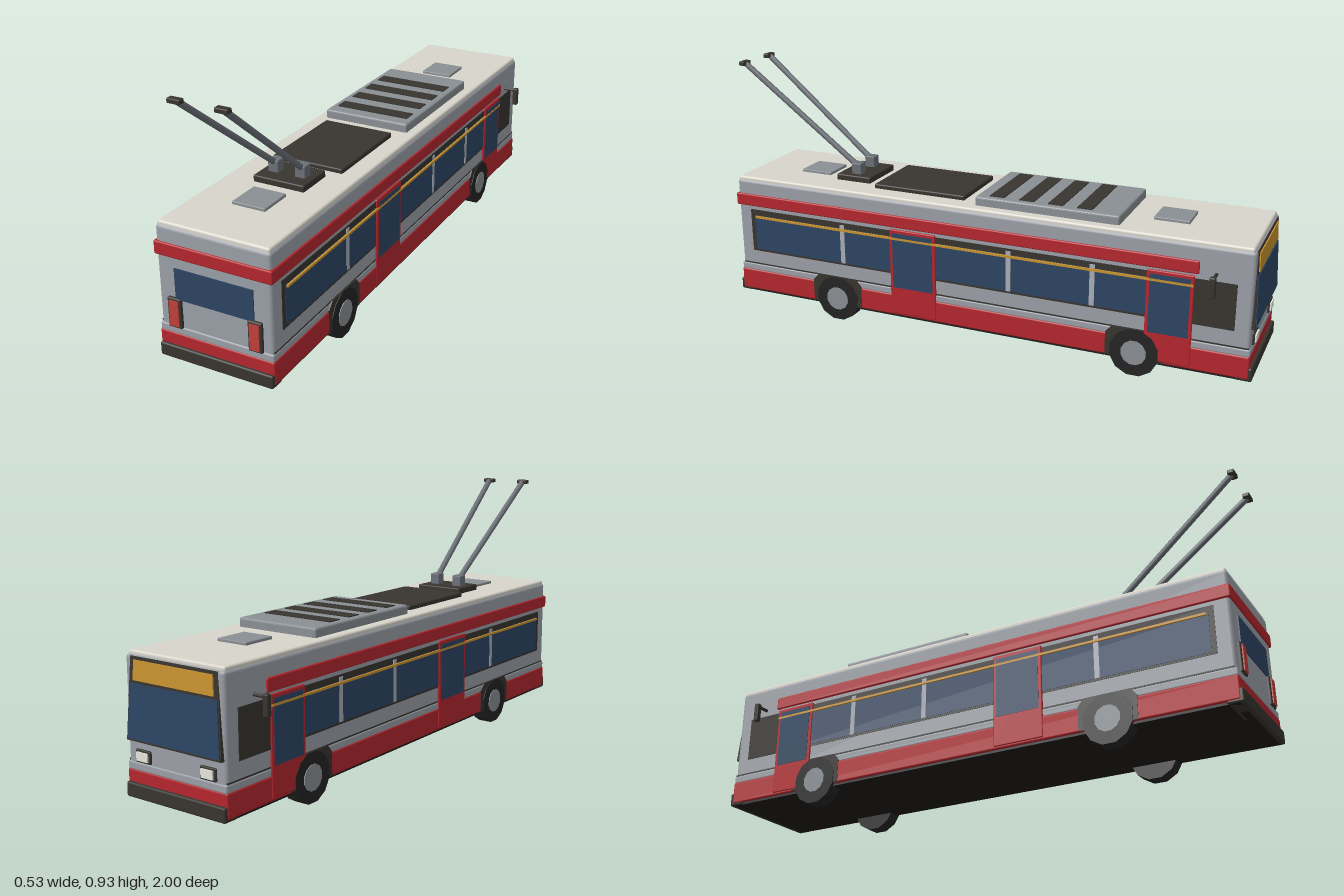
import * as THREE from 'three';
import { RoundedBoxGeometry } from 'three/addons/geometries/RoundedBoxGeometry.js';

const mat = (color) => new THREE.MeshStandardMaterial({ color });
const grey = mat(0x9a9fa6), red = mat(0xb3262d), cream = mat(0xd8d5cb), dark = mat(0x38342f);
const glass = mat(0x2c4462), amber = mat(0xc8922f), black = mat(0x1d1b19), steel = mat(0x6b7077);
const roofGrey = mat(0x8a8f94), pillarGrey = mat(0xa9aeb5), lampRed = mat(0xc0403a), lampWhite = mat(0xe6e6de);
const tyre = mat(0x232323);

export function createModel() {
  const root = new THREE.Group();

  const add = (name, geometry, material, parent = root) => {
    const m = new THREE.Mesh(geometry, material);
    m.name = name;
    parent.add(m);
    return m;
  };
  // Box given by its limits; r > 0 rounds the edges
  const box = (name, material, [x0, x1], [y0, y1], [z0, z1], r = 0, parent = root) => {
    const s = [x1 - x0, y1 - y0, z1 - z0];
    const g = r ? new RoundedBoxGeometry(...s, 2, r) : new THREE.BoxGeometry(...s);
    g.translate((x0 + x1) / 2, (y0 + y1) / 2, (z0 + z1) / 2);
    return add(name, g, material, parent);
  };
  const mid = (w) => [-w, w];
  // Round bar between two points
  const bar = (name, material, a, b, r, sides, parent) => {
    const from = new THREE.Vector3(...a), to = new THREE.Vector3(...b);
    const dir = to.clone().sub(from);
    const m = add(name, new THREE.CylinderGeometry(r, r, dir.length(), sides), material, parent);
    m.position.copy(from).add(to).multiplyScalar(0.5);
    m.quaternion.setFromUnitVectors(new THREE.Vector3(0, 1, 0), dir.normalize());
    return m;
  };

  // Body shell, roof and floor
  box('bodyShell', grey, mid(0.204), [0.1, 0.502], [-0.983, 0.97], 0.012);
  box('lowerLedge', grey, mid(0.206), [0.138, 0.166], [-0.986, 0.974], 0.006);
  box('skirt', red, mid(0.208), [0.06, 0.141], [-0.986, 0.975], 0.006);
  box('floor', black, mid(0.2), [0.052, 0.064], [-0.98, 0.97]);
  box('roof', cream, mid(0.199), [0.49, 0.514], [-0.975, 0.965], 0.008);
  box('upperStripe', red, mid(0.21), [0.402, 0.448], [-0.805, 0.976], 0.005);
  box('rearBumper', dark, mid(0.206), [0.052, 0.098], [0.93, 0.985], 0.006);
  box('frontBumper', dark, mid(0.206), [0.052, 0.1], [-0.997, -0.94], 0.006);

  // Roof equipment
  box('airConditioner', roofGrey, mid(0.163), [0.505, 0.546], [-0.52, 0.005], 0.008);
  for (const z of [-0.39, -0.285, -0.18, -0.07])
    box('ventSlot', dark, mid(0.14), [0.54, 0.549], [z - 0.027, z + 0.027]);
  box('batteryCover', dark, mid(0.132), [0.505, 0.53], [0.06, 0.42], 0.005);
  box('poleBase', dark, mid(0.094), [0.505, 0.536], [0.46, 0.6], 0.005);
  for (const z of [-0.67, 0.71])
    box('roofHatch', roofGrey, mid(0.06), [0.505, 0.524], [z - 0.062, z + 0.062], 0.003);

  // Current collector poles
  for (const s of [-1, 1]) {
    const pole = new THREE.Group();
    pole.name = 'trolleyPole';
    root.add(pole);
    const x = s * 0.05;
    box('polePivot', steel, [x - 0.019, x + 0.019], [0.53, 0.577], [0.51, 0.55], 0.004, pole);
    bar('poleRod', steel, [x, 0.56, 0.53], [s * 0.08, 0.92, 0.985], 0.011, 8, pole);
    box('poleHead', dark, [s * 0.08 - 0.023, s * 0.08 + 0.023], [0.913, 0.929], [0.976, 1.0], 0.004, pole);
  }

  // Rear end
  box('rearWindow', glass, mid(0.141), [0.262, 0.368], [0.96, 0.974]);
  for (const s of [-1, 1]) {
    const x = s * 0.145;
    box('tailLightFrame', dark, [x - 0.025, x + 0.025], [0.162, 0.266], [0.96, 0.98], 0.005);
    box('tailLight', lampRed, [x - 0.017, x + 0.017], [0.17, 0.258], [0.97, 0.984]);
  }

  // Cab end: panes lean outward and widen toward the bottom
  const leaningPane = (name, material, half, y0, y1, out) => {
    const g = new THREE.BoxGeometry(2, y1 - y0, 1);
    g.translate(0, (y0 + y1) / 2, 0);
    const p = g.attributes.position;
    for (let i = 0; i < p.count; i++) {
      const drop = (0.5 - p.getY(i)) / 0.26;
      p.setX(i, p.getX(i) * (half + 0.016 * drop));
      p.setZ(i, p.getZ(i) > 0 ? -0.95 : -0.979 - out - 0.012 * drop);
    }
    g.computeVertexNormals();
    return add(name, g, material);
  };
  leaningPane('windshieldFrame', dark, 0.18, 0.235, 0.498, 0.004);
  leaningPane('windshield', glass, 0.175, 0.242, 0.415, 0.007);
  leaningPane('destinationSign', amber, 0.162, 0.425, 0.488, 0.008);
  for (const s of [-1, 1]) {
    const x = s * 0.135;
    box('headlightFrame', dark, [x - 0.032, x + 0.032], [0.168, 0.21], [-0.99, -0.96], 0.004);
    box('headlight', lampWhite, [x - 0.024, x + 0.024], [0.175, 0.203], [-0.995, -0.97]);
  }

  // Both sides are mirror images
  for (const s of [-1, 1]) {
    const side = new THREE.Group();
    side.name = s > 0 ? 'leftSide' : 'rightSide';
    root.add(side);
    // Panel standing out from the side wall to x = out
    const panel = (name, material, y, z, out, r = 0) =>
      box(name, material, s > 0 ? [0.19, out] : [-out, -0.19], y, z, r, side);

    panel('windowBand', dark, [0.222, 0.388], [-0.79, 0.918], 0.2055);
    panel('windowGlass', glass, [0.23, 0.366], [-0.785, 0.9], 0.2068);
    panel('cabWindow', dark, [0.225, 0.386], [-0.93, -0.79], 0.2062);
    for (const z of [0.52, -0.14, -0.445])
      panel('windowPillar', pillarGrey, [0.23, 0.38], [z - 0.009, z + 0.009], 0.208);
    panel('rubStrip', dark, [0.166, 0.171], [-0.98, 0.965], 0.2052);

    for (const [z0, z1] of [[0.14, 0.322], [-0.792, -0.632]]) {
      panel('door', red, [0.068, 0.395], [z0, z1], 0.211, 0.004);
      panel('doorGlass', glass, [0.172, 0.382], [z0 + 0.012, z1 - 0.012], 0.2122);
    }
    panel('trimLine', amber, [0.357, 0.365], [-0.79, 0.895], 0.2135);

    // Wheels and arches
    for (const z of [0.55, -0.6]) {
      const arch = new THREE.Shape();
      arch.moveTo(-0.102, 0.062).lineTo(0.102, 0.062).lineTo(0.102, 0.145);
      arch.lineTo(0.08, 0.17).lineTo(-0.08, 0.17).lineTo(-0.102, 0.145);
      const ag = new THREE.ExtrudeGeometry(arch, { depth: 0.06, bevelEnabled: false });
      ag.rotateY(Math.PI / 2).translate(s > 0 ? 0.1495 : -0.2095, 0, z);
      add('wheelArch', ag, dark, side);
      const disc = (name, material, r, x0, x1, sides) => {
        const g = new THREE.CylinderGeometry(r, r, x1 - x0, sides);
        g.rotateZ(Math.PI / 2).rotateX(Math.PI / sides).translate((s * (x0 + x1)) / 2, 0.085, z);
        material.flatShading = true;
        add(name, g, material, side);
      };
      disc('tyre', tyre, 0.087, 0.16, 0.2115, 12);
      disc('wheelHub', roofGrey, 0.045, 0.2, 0.214, 12);
    }

    // Wing mirror
    bar('mirrorArm', dark, [s * 0.2, 0.41, -0.86], [s * 0.256, 0.41, -0.86], 0.006, 8, side);
    const mx = s * 0.254;
    box('mirror', dark, [mx - 0.01, mx + 0.01], [0.349, 0.42], [-0.87, -0.85], 0.005, side);
  }

  return root;
}
